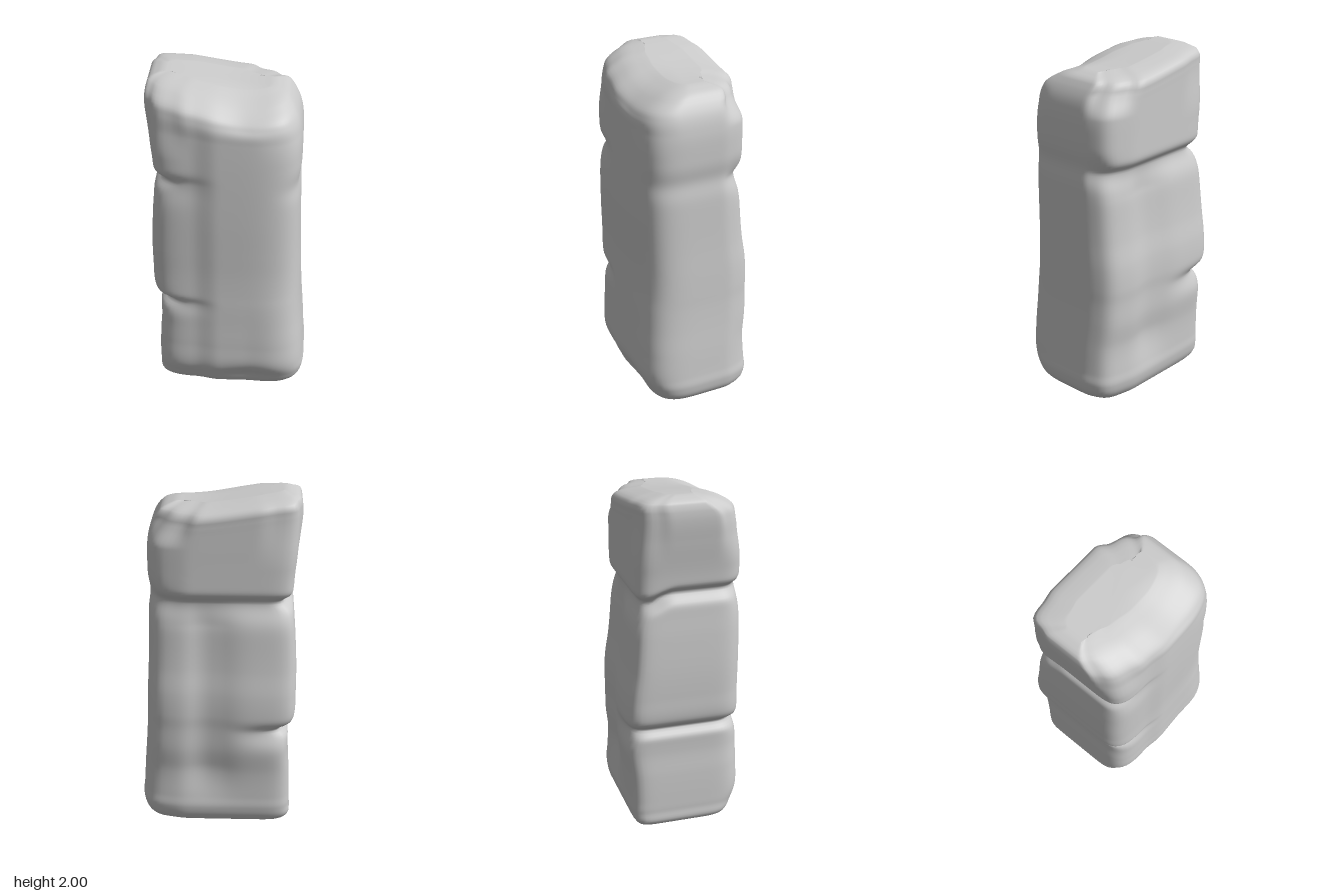
import * as THREE from 'three';

// Cross-sections from bottom to top: y, left x, right x, front z, back z
const LEVELS = [
  [0.00, -0.31, 0.35, 0.21, -0.23],
  [0.015, -0.36, 0.395, 0.25, -0.28],
  [0.04, -0.405, 0.43, 0.28, -0.305],
  [0.12, -0.415, 0.457, 0.325, -0.33],
  [0.19, -0.415, 0.452, 0.35, -0.33],
  [0.35, -0.41, 0.442, 0.352, -0.335],
  [0.50, -0.40, 0.43, 0.348, -0.352],
  [0.64, -0.41, 0.422, 0.345, -0.354],
  [0.72, -0.435, 0.42, 0.342, -0.358],
  [0.85, -0.44, 0.416, 0.34, -0.352],
  [1.00, -0.44, 0.41, 0.342, -0.33],
  [1.20, -0.43, 0.406, 0.345, -0.312],
  [1.40, -0.415, 0.404, 0.345, -0.302],
  [1.55, -0.42, 0.406, 0.343, -0.30],
  [1.75, -0.445, 0.402, 0.338, -0.30],
  [1.86, -0.457, 0.385, 0.335, -0.30],
  [1.91, -0.457, 0.365, 0.315, -0.30],
  [1.95, -0.45, 0.338, 0.258, -0.296],
  [1.98, -0.43, 0.305, 0.19, -0.255],
  [2.00, -0.37, 0.24, 0.10, -0.15],
];
const SIDES = 112, ROWS_PER_UNIT = 80;
const smooth = THREE.MathUtils.smoothstep;
const bell = (v, centre, width) => Math.exp(-(((v - centre) / width) ** 2));
// bell with its own width below and above the centre
const skewBell = (v, centre, below, above) => bell(v, centre, v < centre ? below : above);

// Point on a rounded rectangle with half-size 1: tight left back, soft right front
function outline(angle) {
  const c = Math.cos(angle), s = Math.sin(angle);
  const n = c < 0 ? (s < 0 ? 10 : 6) : (s < 0 ? 6 : 4.2);
  const r = (Math.abs(c) ** n + Math.abs(s) ** n) ** (-1 / n);
  return [c * r, s * r];
}

// Worn corners, most of them near the top
function trimCorner(p, u, v) {
  const corner = smooth(Math.abs(u * v), 0.4, 0.75);
  const high = smooth(p.y, 1.6, 1.9);
  let cut;
  if (u > 0) cut = v > 0 ? 0.008 * high : 0.012 + 0.035 * smooth(p.y, 1.75, 1.94);
  else cut = v > 0 ? 0.028 * high : 0.018 * high;
  p.x -= Math.sign(u) * cut * corner;
  p.z -= Math.sign(v) * cut * corner;
}

// Grooves, dents and the sloping top
function weather(p, u, v) {
  const { x, y, z } = p;
  const leftSide = 1 - smooth(x, -0.38, -0.02);
  const front = smooth(v, 0.3, 0.95), back = 1 - smooth(v, -0.95, -0.3);
  const left = 1 - smooth(u, -0.95, -0.5), right = smooth(u, 0.5, 0.95);

  // two grooves that bite into the left side and fade softly across the front
  const highY = 1.45 - 0.05 * back;
  p.x += left * 0.05 * (skewBell(y, 0.635, 0.03, 0.03) + skewBell(y, highY, 0.04, 0.03));
  p.z -= front * leftSide * 0.025 * (skewBell(y, 0.635, 0.06, 0.035) + skewBell(y, highY, 0.1, 0.045));

  // on the back the upper one is a ledge, the lower one a soft dent
  p.z += back * leftSide * 0.035 * skewBell(y, 0.625, 0.07, 0.045);
  p.z += back * 0.042 * skewBell(y, 1.395, 0.09, 0.04);
  p.x -= right * (0.012 + 0.015 * back) * bell(y, 1.42, 0.07);

  // wide hollow down the back, and a slimmer left half in front
  const body = smooth(y, 0.1, 0.4) * (1 - smooth(y, 1.25, 1.42));
  p.z += back * (0.036 * bell(x, 0.05, 0.13) + 0.016 * smooth(x, 0.0, 0.15)) * body;
  p.z -= front * 0.022 * (1 - smooth(x, -0.2, -0.05));
  p.z += front * 0.012 * smooth(x, 0.1, 0.3) * (1 - smooth(y, 0.3, 0.9));

  // scooped lower and upper front edges
  p.z -= front * 0.024 * bell(x, 0.15, 0.18) * bell(y, 0.11, 0.08);
  p.z -= front * 0.02 * bell(x, 0.08, 0.16) * bell(y, 1.9, 0.07);
  p.y -= 0.025 * bell(x, 0.08, 0.17) * smooth(z, 0.02, 0.24) * smooth(y, 1.8, 1.95);

  // top slopes down to the right and levels off
  p.y -= 0.07 * smooth(x, -0.45, 0.2) * smooth(y, 1.55, 1.93);
}

function stoneGeometry() {
  const sections = new THREE.CubicInterpolant(
    LEVELS.map((level) => level[0]), LEVELS.flatMap((level) => level.slice(1)), 4, new Float32Array(4));
  const first = LEVELS[0], top = LEVELS[LEVELS.length - 1];

  // Rows: bottom cap rings, wall rows, top cap rings
  const rows = [];
  const capRings = [0.001, 0.25, 0.5, 0.75, 0.92];
  capRings.forEach((s) => rows.push([first, s]));
  for (let i = 0; i < LEVELS.length - 1; i++) {
    const y0 = LEVELS[i][0], y1 = LEVELS[i + 1][0];
    const steps = Math.max(3, Math.round((y1 - y0) * ROWS_PER_UNIT));
    for (let k = 0; k < steps; k++) {
      const y = THREE.MathUtils.lerp(y0, y1, k / steps);
      rows.push([[y, ...sections.evaluate(y)], 1]);
    }
  }
  rows.push([top, 1]);
  capRings.reverse().forEach((s) => rows.push([top, s]));

  const positions = [], index = [];
  rows.forEach(([[y, xl, xr, zf, zb], s], r) => {
    for (let i = 0; i < SIDES; i++) {
      const [u, v] = outline((i / SIDES) * Math.PI * 2).map((value) => value * s);
      const p = new THREE.Vector3(
        (xl + xr) / 2 + (u * (xr - xl)) / 2, y, (zf + zb) / 2 + (v * (zf - zb)) / 2);
      trimCorner(p, u, v);
      weather(p, u, v);
      positions.push(p.x, p.y, p.z);
      if (r < rows.length - 1) {
        const a = r * SIDES + i, b = r * SIDES + ((i + 1) % SIDES);
        index.push(a, a + SIDES, b, b, a + SIDES, b + SIDES);
      }
    }
  });
  const geometry = new THREE.BufferGeometry();
  geometry.setAttribute('position', new THREE.Float32BufferAttribute(positions, 3));
  geometry.setIndex(index);
  geometry.computeVertexNormals();
  return geometry;
}

export function createModel() {
  const group = new THREE.Group();
  group.name = 'standingStone';
  const stone = new THREE.Mesh(stoneGeometry(), new THREE.MeshStandardMaterial({ color: 0xcccccc }));
  stone.name = 'stoneBlock';
  group.add(stone);
  return group;
}
